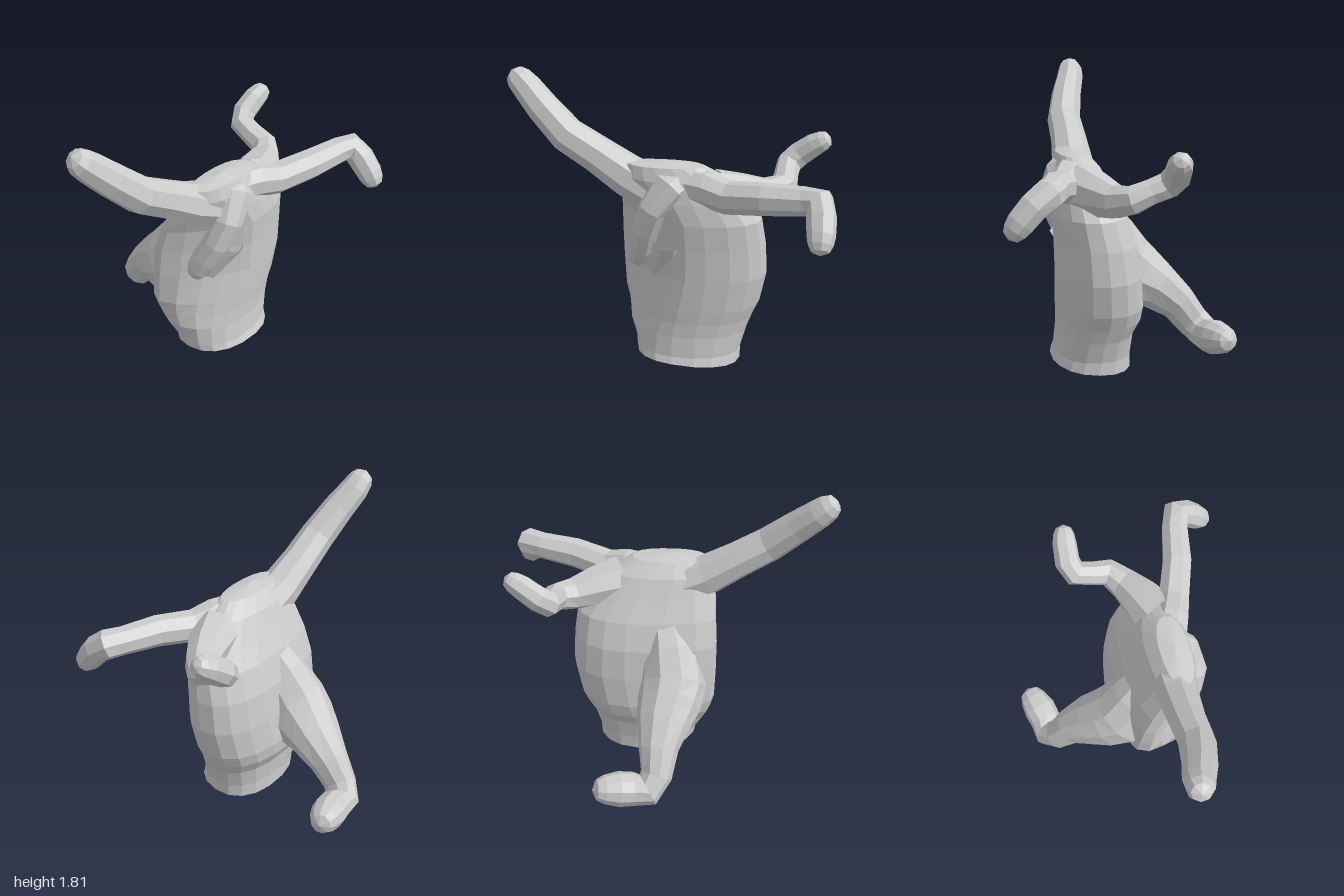
import * as THREE from 'three';

const material = new THREE.MeshStandardMaterial({ color: 0xcccccc, flatShading: true, side: THREE.DoubleSide });

// Skin a list of equal-length rings, closing the far end with an apex point
function loft(name, rings, apex) {
  const n = rings[0].length;
  const pos = [];
  const idx = [];
  rings.forEach(r => r.forEach(p => pos.push(p.x, p.y, p.z)));
  pos.push(apex.x, apex.y, apex.z);
  for (let i = 0; i < rings.length; i++) {
    for (let j = 0; j < n; j++) {
      const a = i * n + j;
      const b = i * n + (j + 1) % n;
      if (i < rings.length - 1) idx.push(a, b, b + n, a, b + n, a + n);
      else idx.push(a, b, rings.length * n);
    }
  }
  const g = new THREE.BufferGeometry();
  g.setAttribute('position', new THREE.Float32BufferAttribute(pos, 3));
  g.setIndex(idx);
  g.computeVertexNormals();
  const mesh = new THREE.Mesh(g, material);
  mesh.name = name;
  return mesh;
}

// Tapered limb with a rounded tip; each section is [x, y, z, radius, radius along z]
function limb(name, sections, sides = 8) {
  const c = sections.map(s => new THREE.Vector3(s[0], s[1], s[2]));
  const last = c.length - 1;
  const dir = i => c[i + 1].clone().sub(c[i]).normalize();
  const ringAt = (center, nAxis, bAxis, ra, rb) => Array.from({ length: sides }, (_, j) => {
    const a = (j + 0.5) / sides * Math.PI * 2;
    return center.clone().addScaledVector(nAxis, ra * Math.cos(a)).addScaledVector(bAxis, rb * Math.sin(a));
  });
  const rings = [];
  const b = new THREE.Vector3(0, 0, 1);
  let t = null;
  let n = null;
  sections.forEach(([, , , ra, rb = ra], i) => {
    const next = i === 0 ? dir(0) : i === last ? dir(last - 1) : dir(i - 1).add(dir(i)).normalize();
    // carry the frame round the bends without twisting
    if (t) b.applyQuaternion(new THREE.Quaternion().setFromUnitVectors(t, next));
    b.addScaledVector(next, -b.dot(next)).normalize();
    t = next;
    n = b.clone().cross(t);
    rings.push(ringAt(c[i], n, b, ra, rb));
  });
  const r = sections[last][3];
  rings.push(ringAt(c[last].clone().addScaledVector(t, r * 0.55), n, b, r * 0.72, r * 0.72));
  return loft(name, rings, c[last].clone().addScaledVector(t, r * 0.85));
}

// Palm and wrist: levels [y, x min, x max, z front, z back, hollow], open at the bottom
function palm() {
  const levels = [
    [0.0, -0.10, 0.39, 0.20, -0.45, 0],
    [0.09, -0.10, 0.37, 0.21, -0.45, 0],
    [0.22, -0.115, 0.355, 0.26, -0.485, 0.08],
    [0.31, -0.16, 0.355, 0.275, -0.52, 0.13],
    [0.40, -0.17, 0.36, 0.285, -0.56, 0.18],
    [0.60, -0.15, 0.365, 0.27, -0.60, 0.26],
    [0.80, -0.12, 0.37, 0.265, -0.59, 0.28],
    [0.97, -0.06, 0.38, 0.26, -0.565, 0.26],
    [1.10, 0.01, 0.37, 0.28, -0.47, 0.16],
    [1.22, 0.07, 0.35, 0.29, -0.36, 0.05],
    [1.30, 0.14, 0.32, 0.24, -0.22, 0],
  ];
  const sides = 18;
  const bulge = v => Math.sign(v) * Math.pow(Math.abs(v), 0.88);
  const rings = levels.map(([y, x0, x1, zf, zb, hollow], i) => Array.from({ length: sides }, (_, j) => {
    const a = j / sides * Math.PI * 2;
    const cx = bulge(Math.sin(a));
    const cz = bulge(Math.cos(a));
    // the wrist edge is cut slightly unevenly
    const lift = i === 0 ? 0.025 + 0.02 * cx + 0.012 * cz : 0;
    // the front swells towards the thumb and falls away under the folded finger
    const dent = hollow * Math.max(0, cz) * (cx + 0.1);
    return new THREE.Vector3((x0 + x1) / 2 + cx * (x1 - x0) / 2, y + lift, (zf + zb) / 2 + cz * (zf - zb) / 2 - dent);
  }));
  return loft('palm', rings, new THREE.Vector3(0.23, 1.32, 0.02));
}

export function createModel() {
  const hand = new THREE.Group();
  hand.name = 'hand';
  hand.add(palm());

  // Thumb with its broad web, tip bent backwards
  hand.add(limb('thumb', [
    [0.19, 0.92, -0.02, 0.22, 0.14],
    [0.05, 0.72, 0.02, 0.25, 0.19],
    [-0.10, 0.54, 0.045, 0.245, 0.215],
    [-0.21, 0.475, 0.025, 0.215, 0.20],
    [-0.32, 0.42, -0.005, 0.16, 0.175],
    [-0.45, 0.31, -0.03, 0.125, 0.125],
    [-0.55, 0.18, -0.04, 0.11, 0.10],
    [-0.61, 0.115, -0.09, 0.105],
    [-0.615, 0.12, -0.18, 0.105],
    [-0.635, 0.135, -0.27, 0.11],
    [-0.66, 0.15, -0.355, 0.09],
  ], 10));

  // Index finger, pointing forwards and up
  hand.add(limb('indexFinger', [
    [0.20, 1.10, 0.03, 0.15],
    [0.18, 1.20, 0.25, 0.13],
    [0.17, 1.32, 0.44, 0.115],
    [0.17, 1.43, 0.62, 0.11],
    [0.125, 1.58, 0.78, 0.10],
    [0.08, 1.69, 0.89, 0.09],
    [0.07, 1.74, 0.94, 0.08],
  ]));

  // Middle finger, folded down over the front
  hand.add(limb('middleFinger', [
    [0.23, 1.22, -0.08, 0.09, 0.11],
    [0.30, 1.18, -0.02, 0.10, 0.12],
    [0.34, 1.05, 0.07, 0.08, 0.09],
    [0.30, 0.90, 0.12, 0.085],
    [0.24, 0.77, 0.155, 0.085],
    [0.205, 0.69, 0.185, 0.07],
  ]));

  // Ring finger, reaching back and hooked outwards
  hand.add(limb('ringFinger', [
    [0.23, 1.18, -0.10, 0.11],
    [0.29, 1.18, -0.25, 0.11],
    [0.345, 1.155, -0.38, 0.10],
    [0.43, 1.19, -0.60, 0.095],
    [0.48, 1.21, -0.82, 0.085],
    [0.515, 1.215, -0.91, 0.09],
    [0.59, 1.16, -0.925, 0.085],
    [0.66, 1.08, -0.93, 0.08],
    [0.69, 1.04, -0.93, 0.07],
  ]));

  // Little finger, bent sideways and then up behind
  hand.add(limb('littleFinger', [
    [0.22, 1.12, -0.30, 0.16],
    [0.15, 1.11, -0.46, 0.13],
    [0.08, 1.10, -0.59, 0.10],
    [0.0, 1.125, -0.68, 0.085],
    [-0.10, 1.165, -0.68, 0.075],
    [-0.20, 1.205, -0.69, 0.08],
    [-0.23, 1.26, -0.75, 0.08],
    [-0.22, 1.33, -0.84, 0.075],
    [-0.21, 1.36, -0.89, 0.065],
  ]));

  return hand;
}
